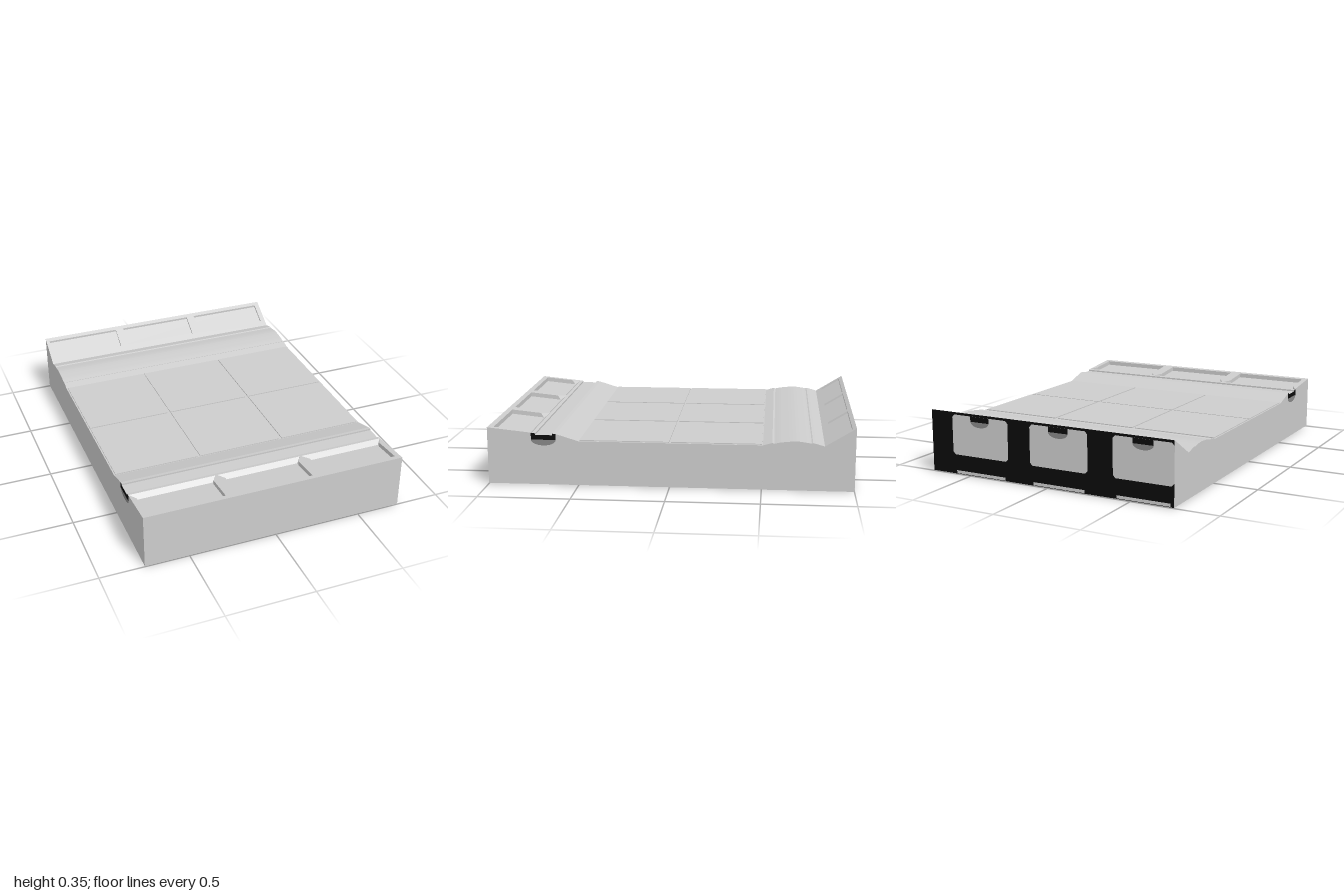
import * as THREE from 'three';

const material = (name, color) => {
  const m = new THREE.MeshStandardMaterial({ color });
  m.name = name;
  return m;
};

export function createModel() {
  const stone = material('light grey', 0xcccccc);
  const black = material('black', 0x0a0a0a);
  const shade = material('mid grey', 0x868686);
  const model = new THREE.Group();
  const W = 0.75;

  const add = (parent, name, geometry, mat) => {
    const mesh = new THREE.Mesh(geometry, mat);
    mesh.name = name;
    parent.add(mesh);
    return mesh;
  };
  const polygon = (pts) => pts.map(([a, b]) => new THREE.Vector2(a, b));
  const rect = (x0, x1, y0, y1) => polygon([[x0, y0], [x1, y0], [x1, y1], [x0, y1]]);

  // Flat shape in x and z, thickened downwards and laid on the height rule
  function slab(outline, holes, depth, height, bend) {
    const shape = new THREE.Shape(outline);
    shape.holes = holes.map((h) => new THREE.Path(h));
    const g = new THREE.ExtrudeGeometry(shape, { depth, bevelEnabled: false });
    g.rotateX(Math.PI / 2);
    const p = g.attributes.position;
    const v = new THREE.Vector3();
    for (let i = 0; i < p.count; i++) {
      v.fromBufferAttribute(p, i);
      const y = v.y + height(v.z);
      if (bend && v.y < -depth / 2) bend(v);
      p.setXYZ(i, v.x, y, v.z);
    }
    g.computeVertexNormals();
    return g;
  }

  // Solid body: side profile as z and y, swept across the width
  const frontDepth = 0.025, backDepth = 0.012;
  const frontTop = (z) => 0.289 + (z - 0.745) * 0.102;
  const backTop = (z) => 0.248 + (-0.835 - z) * 0.618;
  const mound = new THREE.SplineCurve(polygon([
    [-0.565, 0.257], [-0.61, 0.266], [-0.69, 0.272], [-0.765, 0.262],
  ])).getPoints(14).map((p) => [p.x, p.y]);
  const profile = [
    [-1, 0], [1, 0], [1, frontTop(1) - frontDepth], [0.745, frontTop(0.745) - frontDepth],
    [0.745, 0.289], [0.733, 0.287], [0.733, 0.278], [0.64, 0.278], [0.64, 0.287],
    [0.62, 0.285], [0.495, 0.247], [-0.505, 0.247], [-0.555, 0.261],
    ...mound, [-0.772, 0.265], [-0.785, 0.262], [-0.835, 0.248],
    [-0.835, 0.248 - backDepth], [-1, backTop(-1) - backDepth],
  ];
  const body = new THREE.ExtrudeGeometry(new THREE.Shape(polygon(profile)),
    { depth: 2 * W, bevelEnabled: false });
  body.rotateY(-Math.PI / 2).translate(W, 0, 0);
  add(model, 'body', body, stone);

  // Front border with three sunken panels whose rear walls slope
  const bays = [[-0.72, -0.285], [-0.217, 0.217], [0.285, 0.72]];
  const frontHoles = bays.map(([a, b]) => polygon([
    [a - 0.028, 0.752], [b + 0.028, 0.752], [b, 0.8], [b, 0.97], [a, 0.97], [a, 0.8],
  ]));
  add(model, 'frontFrame', slab(rect(-W, W, 0.745, 1), frontHoles, frontDepth, frontTop, (v) => {
    if (Math.abs(v.z - 0.752) < 1e-4) {
      v.z = 0.782;
      const bay = bays.find(([a, b]) => v.x > a - 0.03 && v.x < b + 0.03);
      if (bay) v.x = THREE.MathUtils.clamp(v.x, bay[0], bay[1]);
    }
  }), stone);

  // Raised rear border with three shallow panels
  const backHoles = [-0.505, -0.005, 0.495].map((x) => rect(x - 0.225, x + 0.225, -0.98, -0.87));
  add(model, 'backFrame',
    slab(rect(-W, W, -1, -0.835), backHoles, backDepth, backTop), stone);

  // Paving slabs
  for (const [x0, x1] of [[-0.742, -0.262], [-0.245, 0.24], [0.258, 0.738]]) {
    for (const [z0, z1] of [[-0.5, -0.008], [0.002, 0.492]]) {
      add(model, 'pavingSlab', slab(rect(x0, x1, z0, z1), [], 0.006, () => 0.252), stone);
    }
  }

  // Painted details, stacked in thin layers
  function paint(parent, name, outline, mat, layer) {
    const shape = outline instanceof THREE.Shape ? outline : new THREE.Shape(outline);
    add(parent, name, new THREE.ShapeGeometry(shape, 8), mat).position.z = layer * 0.0012;
  }
  function halfRound(cx, top, rx, ry) {
    const s = new THREE.Shape();
    s.absellipse(cx, top, rx, ry, Math.PI, 2 * Math.PI, false);
    return s;
  }
  function softRect(x0, x1, y0, y1, r) {
    return polygon([[x0 + r, y0], [x1 - r, y0], [x1, y0 + r], [x1, y1 - r],
      [x1 - r, y1], [x0 + r, y1], [x0, y1 - r], [x0, y0 + r]]);
  }

  // Gutter ends on both sides
  for (const side of [1, -1]) {
    const g = new THREE.Group();
    g.name = 'gutterEnd';
    g.position.x = side * W;
    g.rotation.y = side * Math.PI / 2;
    const outline = [[0.757, 0.252], [0.62, 0.252], [0.62, 0.285], [0.64, 0.287], [0.64, 0.278],
      [0.733, 0.278], [0.733, 0.287], [0.757, 0.289]];
    paint(g, 'gutterMouth', polygon(outline.map(([z, y]) => [-side * z, y])), black, 1);
    paint(g, 'gutterShade', halfRound(-side * 0.6885, 0.252, 0.0685, 0.032), shade, 1);
    model.add(g);
  }

  // Black rear face with pale panels and rounded outlets
  const columns = [[0.245, 0.61], [-0.25, 0.105], [-0.75, -0.4]];
  const rear = new THREE.Group();
  rear.name = 'rearFace';
  rear.position.z = -1;
  rear.rotation.y = Math.PI;
  paint(rear, 'rearBacking', rect(-W, W, 0, 0.35), black, 1);
  for (const [a, b] of columns) {
    const mid = -(a + b) / 2;
    paint(rear, 'rearPanel', softRect(-b, -a, 0.11, 0.337, 0.015), stone, 2);
    paint(rear, 'rearStrip', rect(-b + 0.02, -a - 0.02, 0.003, 0.02), stone, 2);
    paint(rear, 'outletMouth', rect(mid - 0.06, mid + 0.06, 0.308, 0.337), black, 3);
    paint(rear, 'outletShade', halfRound(mid, 0.308, 0.06, 0.03), shade, 3);
  }
  model.add(rear);

  // Matching strip along the rear of the underside
  const under = new THREE.Group();
  under.name = 'underside';
  under.rotation.x = Math.PI / 2;
  paint(under, 'undersideBacking', rect(-W, W, -1, -0.53), black, 1);
  for (const [a, b] of columns) {
    paint(under, 'undersidePanel', softRect(a, b, -0.91, -0.63, 0.025), stone, 2);
    const outlet = new THREE.Group();
    outlet.name = 'undersideOutlet';
    outlet.position.set(a, -0.81, 0);
    outlet.rotation.z = Math.PI / 2;
    paint(outlet, 'outletMouth', rect(-0.045, 0.045, -0.045, -0.005), black, 3);
    paint(outlet, 'outletShade', halfRound(0, -0.045, 0.045, 0.035), shade, 3);
    under.add(outlet);
  }
  model.add(under);

  return model;
}
